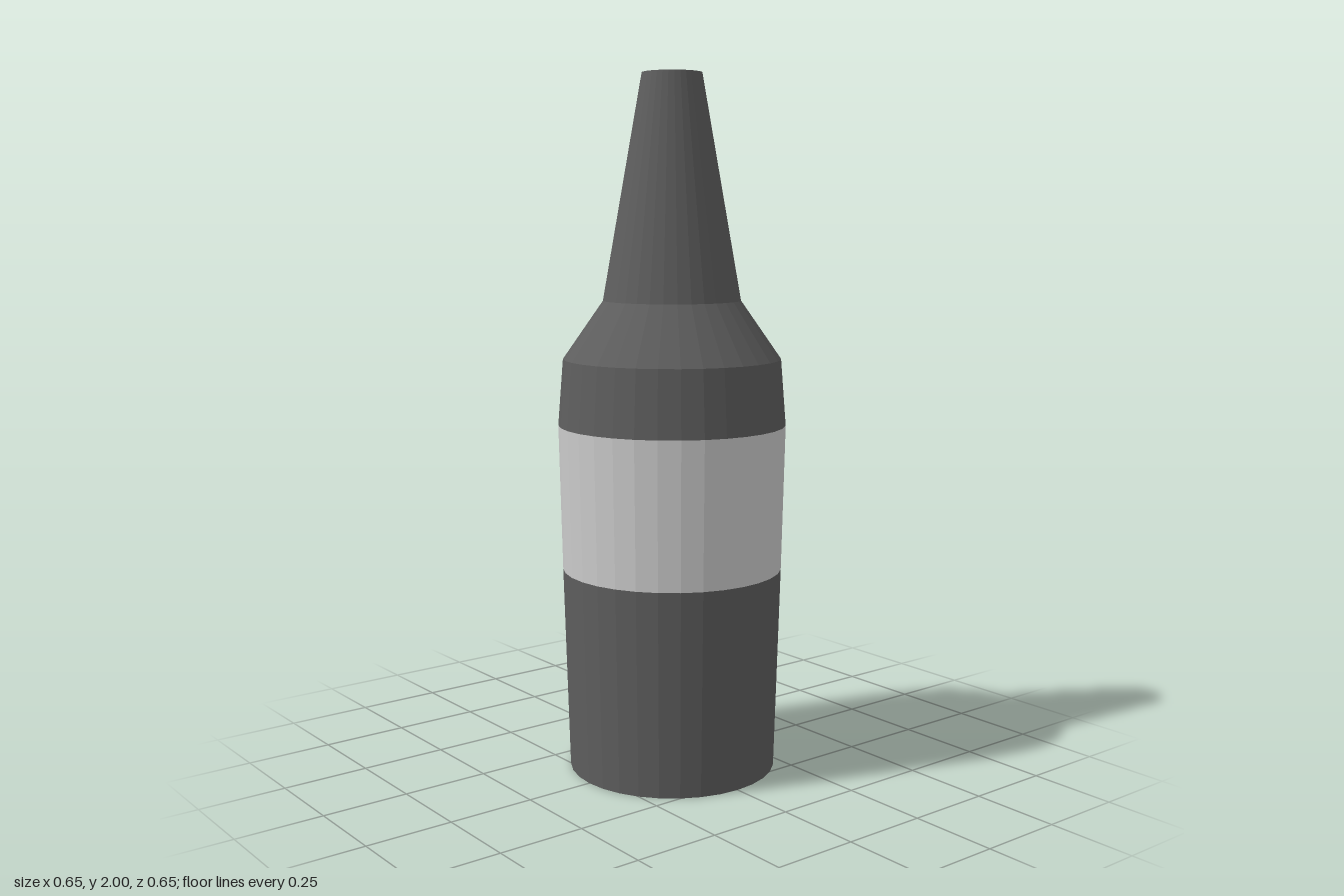
import * as THREE from 'three';

const SIDES = 32;

// Turns a [radius, height] profile, listed from bottom to top, into a faceted part.
function turned(name, profile, color) {
  const points = profile.map(([r, y]) => new THREE.Vector2(r, y));
  const material = new THREE.MeshStandardMaterial({ color, flatShading: true });
  const mesh = new THREE.Mesh(new THREE.LatheGeometry(points, SIDES), material);
  mesh.name = name;
  return mesh;
}

export function createModel() {
  const group = new THREE.Group();
  group.name = 'bottle';
  const dark = 0x5e5e5e;

  // Closed base and slightly flaring lower body
  group.add(turned('lowerBody', [[0, 0], [0.3, 0], [0.317, 0.59]], dark));

  // Light band around the widest part
  group.add(turned('labelBand', [[0.317, 0.59], [0.327, 1.01]], 0xcccccc));

  // Upper body and sloping shoulder
  group.add(turned('shoulder', [[0.327, 1.01], [0.312, 1.2], [0.197, 1.365]], dark));

  // Tapered neck
  group.add(turned('neck', [[0.197, 1.365], [0.085, 2]], dark));

  // Flat rim with a shallow recessed mouth
  group.add(turned('mouth', [[0.085, 2], [0.075, 2], [0.075, 1.97], [0, 1.97]], dark));

  return group;
}
